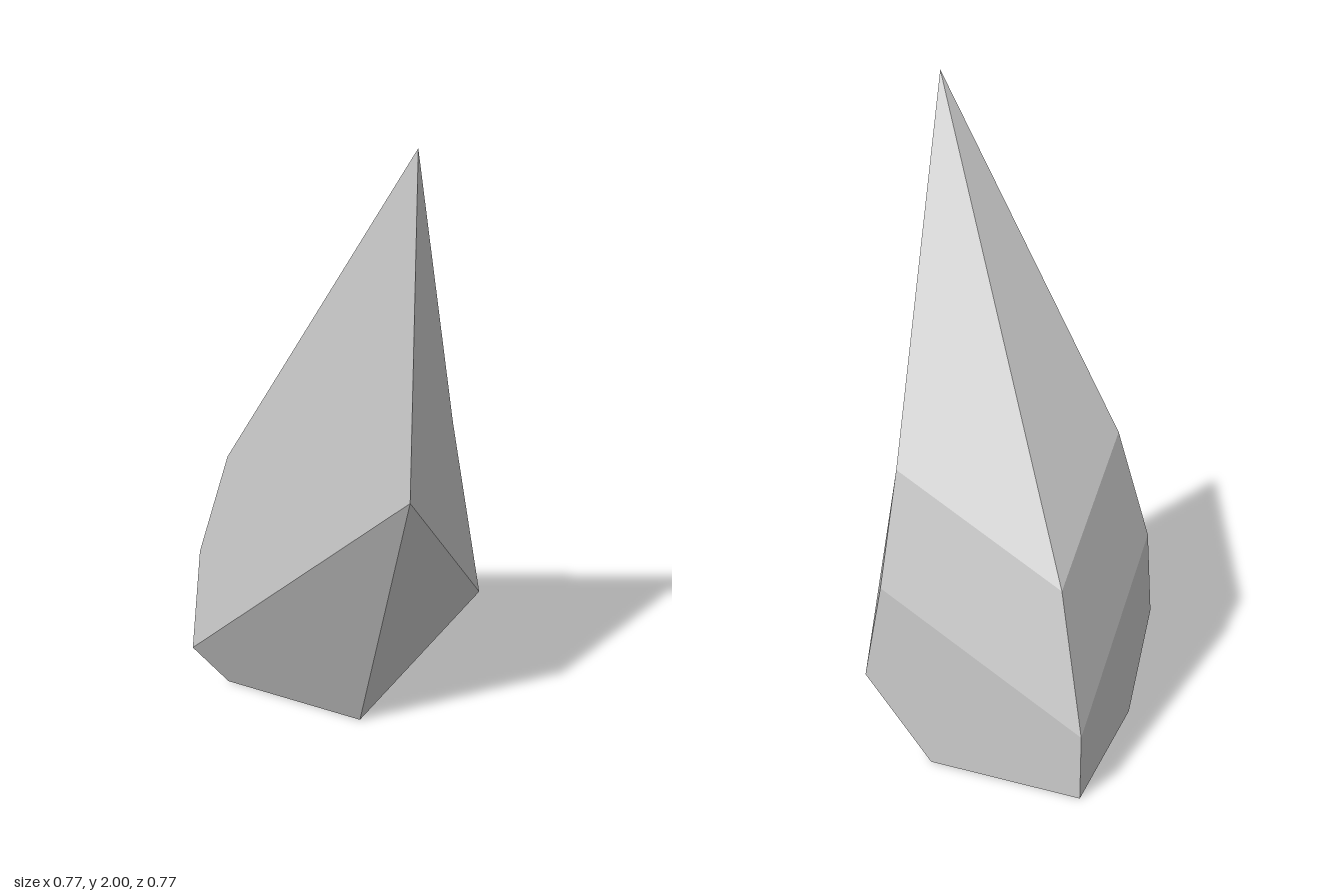
import * as THREE from 'three';

// Points on the shard's plane of symmetry.
const W = 0.383;
const tip = [W, 2, W], ridge = [W, 1.01, W];
const base = [-W, 0, -W], baseFront = [0.11, 0, 0.11], baseSide = [-W, 0, 0.11];
const backMid = [-W, 0.22, -W], backHigh = [-0.278, 0.638, -0.278];

const swap = ([x, y, z]) => [z, y, x];

// Facets of one half, counter-clockwise from outside, fanned from the first corner.
function halfFacets(lowZ, midZ, highZ) {
  const low = [-W, 0.27, lowZ], mid = [-W, 0.59, midZ], high = [-0.278, 0.94, highZ];
  return {
    sideFacet: [base, baseSide, low, mid, backMid],
    shoulderFacet: [backMid, mid, high, backHigh],
    slopeFacet: [backHigh, high, tip],
    upperFacet: [high, mid, low, ridge, tip],
    lowerFacet: [baseFront, ridge, low, baseSide],
  };
}

// Flat-looking polygon: every corner shares the averaged facet normal.
function facet(name, points, material) {
  const v = points.map((p) => new THREE.Vector3(...p));
  const normal = new THREE.Vector3();
  const positions = [], normals = [];
  for (let i = 1; i < v.length - 1; i++) {
    const a = v[i].clone().sub(v[0]), b = v[i + 1].clone().sub(v[0]);
    normal.add(a.cross(b));
    for (const p of [v[0], v[i], v[i + 1]]) positions.push(p.x, p.y, p.z);
  }
  normal.normalize();
  for (let i = 0; i < positions.length / 3; i++) normals.push(normal.x, normal.y, normal.z);
  const geometry = new THREE.BufferGeometry();
  geometry.setAttribute('position', new THREE.Float32BufferAttribute(positions, 3));
  geometry.setAttribute('normal', new THREE.Float32BufferAttribute(normals, 3));
  const mesh = new THREE.Mesh(geometry, material);
  mesh.name = name;
  return mesh;
}

export function createModel() {
  const group = new THREE.Group();
  group.name = 'crystalShard';
  const material = new THREE.MeshStandardMaterial({ color: 0xcccccc });

  // Right half
  for (const [name, points] of Object.entries(halfFacets(0.322, 0.25, 0.235))) {
    group.add(facet(name + 'Right', points, material));
  }
  // Back half: x and z swapped, order reversed but the same fan corner
  for (const [name, [first, ...rest]] of Object.entries(halfFacets(0.328, 0.264, 0.25))) {
    group.add(facet(name + 'Back', [first, ...rest.reverse()].map(swap), material));
  }
  // Underside
  group.add(facet('baseFacet', [base, swap(baseSide), baseFront, baseSide], material));
  return group;
}
